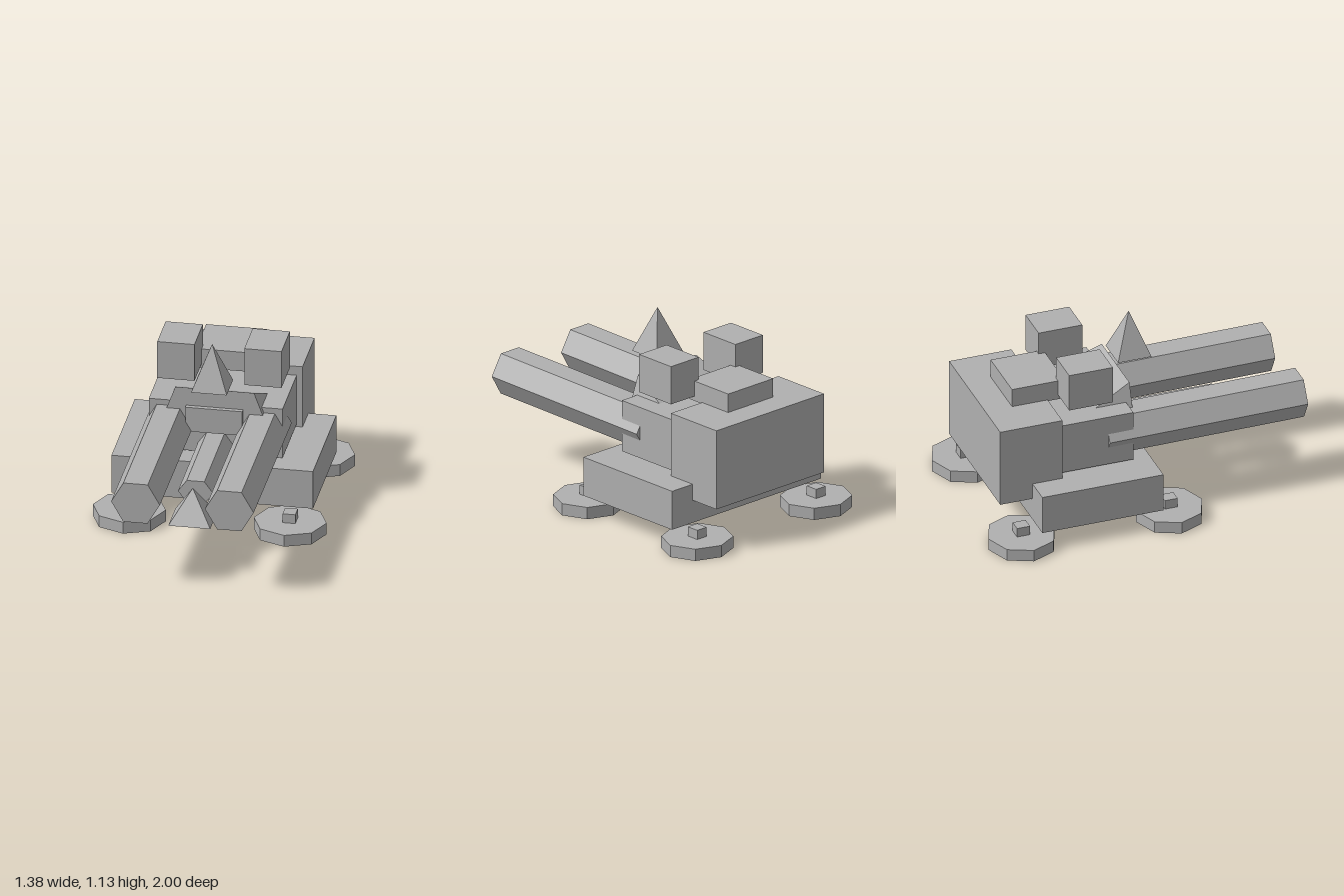
import * as THREE from 'three';

export function createModel() {
  const group = new THREE.Group();
  const grey = new THREE.MeshStandardMaterial({ color: 0xb0b0b0, flatShading: true });
  grey.name = 'plain grey';

  function add(name, geometry, x = 0, y = 0, z = 0) {
    const mesh = new THREE.Mesh(geometry, grey);
    mesh.name = name;
    mesh.position.set(x, y, z);
    group.add(mesh);
    return mesh;
  }

  // Box given by its centre x, width and y / z limits
  function box(name, x, width, y0, y1, z0, z1) {
    return add(name, new THREE.BoxGeometry(width, y1 - y0, z1 - z0), x, (y0 + y1) / 2, (z0 + z1) / 2);
  }

  // Hexagonal bar along z with corners pointing sideways
  function hexBar(radius, length) {
    return new THREE.CylinderGeometry(radius, radius, length, 6).rotateY(Math.PI / 2).rotateX(Math.PI / 2);
  }

  // Square pyramid standing on its base
  function pyramid(name, halfX, halfZ, y0, y1, z) {
    const geometry = new THREE.ConeGeometry(Math.SQRT2, y1 - y0, 4).rotateY(Math.PI / 4).scale(halfX, 1, halfZ);
    return add(name, geometry, 0, (y0 + y1) / 2, z);
  }

  // Body
  box('hull', 0, 1.19, 0.12, 0.36, -0.71, 0.04);
  box('turret', 0, 0.79, 0.376, 0.692, -0.54, -0.073);
  box('rearBlock', 0, 0.86, 0.26, 0.75, -0.91, -0.525);
  box('turretMount', 0, 0.555, 0.355, 0.42, -0.6, -0.44);
  box('hatch', 0, 0.36, 0.742, 0.865, -0.745, -0.42);
  box('mantlet', 0, 0.336, 0.53, 0.685, -0.15, -0.01);

  // Wedge in front of the hatch: falls to the back, sides widen downwards
  const wedge = new THREE.BoxGeometry(1, 1, 1);
  const p = wedge.attributes.position;
  for (let i = 0; i < p.count; i++) {
    const back = p.getZ(i) < 0;
    const y = p.getY(i) < 0 ? 0.53 : back ? 0.69 : 0.798;
    p.setXYZ(i, Math.sign(p.getX(i)) * (0.232 + (0.798 - y) * 0.37), y, back ? -0.265 : -0.038);
  }
  add('wedge', wedge);

  // Central gun and the two pyramids
  add('centreGun', hexBar(0.104, 0.68).scale(1, 0.8, 1), 0, 0.433, 0.235);
  pyramid('gunSight', 0.124, 0.113, 0.305, 0.505, 0.667);
  pyramid('topSpike', 0.105, 0.104, 0.862, 1.135, 0.043);

  // Paired parts
  for (const side of [1, -1]) {
    const label = side > 0 ? 'left' : 'right';
    const barrel = add(label + 'Barrel', hexBar(0.144, 1.226), side * 0.277, 0.537, 0.386);
    barrel.rotation.x = -0.009;
    box(label + 'Pod', side * 0.257, 0.22, 0.77, 1.005, -0.46, -0.19);

    for (const [end, z] of [['Front', 0.118], ['Rear', -0.796]]) {
      const foot = new THREE.CylinderGeometry(0.215, 0.215, 0.073, 8).scale(1, 1, 0.95);
      add(label + end + 'Foot', foot, side * 0.475, 0.0365, z);
      box(label + end + 'Stud', side * 0.475, 0.075, 0.07, 0.13, z - 0.04, z + 0.04);
    }
  }
  return group;
}
